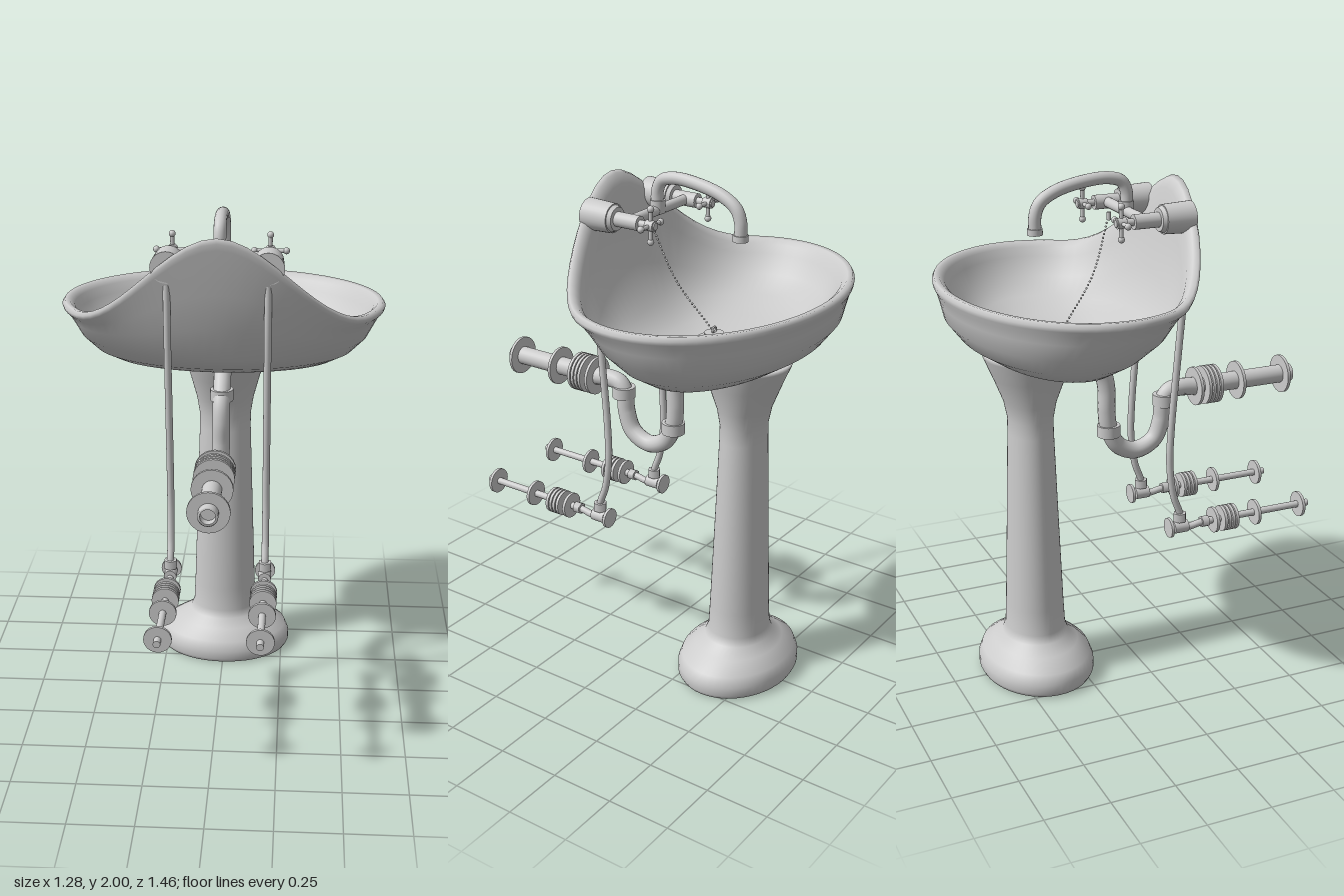
import * as THREE from 'three';

const grey = new THREE.MeshStandardMaterial({ color: 0xcccccc });
grey.name = 'grey';

function add(parent, name, geo, x = 0, y = 0, z = 0) {
  const m = new THREE.Mesh(geo, grey);
  m.name = name;
  m.position.set(x, y, z);
  parent.add(m);
  return m;
}

// cylinder along z: radius rA at zA, rB at zB (zA > zB)
function rodZ(parent, name, x, y, zA, zB, rA, rB = rA, seg = 24) {
  const g = new THREE.CylinderGeometry(rA, rB, zA - zB, seg).rotateX(Math.PI / 2);
  return add(parent, name, g, x, y, (zA + zB) / 2);
}

// upright cylinder
function rodY(parent, name, x, y, z, r, h, seg = 24) {
  return add(parent, name, new THREE.CylinderGeometry(r, r, h, seg), x, y, z);
}

// tube in the plane at x through [z, y] points
function pipe(parent, name, x, pts, r, n = 60) {
  const curve = new THREE.CatmullRomCurve3(pts.map(([z, y]) => new THREE.Vector3(x, y, z)));
  return add(parent, name, new THREE.TubeGeometry(curve, n, r, 16));
}

// closed skin over elliptical rings [halfWidth, zBack, zFront, y, lift]
function loft(rings, rise, seg = 72) {
  const pos = [], idx = [];
  rings.forEach(([ax, z0, z1, y, lift = 0], k) => {
    for (let j = 0; j < seg; j++) {
      const a = (j / seg) * Math.PI * 2, c = Math.cos(a), s = Math.sin(a);
      pos.push(ax * c, y + lift * rise(c, s), (z0 + z1) / 2 + ((z1 - z0) / 2) * s);
      if (k === rings.length - 1) continue;
      const p = k * seg + j, q = k * seg + ((j + 1) % seg);
      idx.push(p, p + seg, q, q, p + seg, q + seg);
    }
  });
  const g = new THREE.BufferGeometry();
  g.setAttribute('position', new THREE.Float32BufferAttribute(pos, 3));
  g.setIndex(idx);
  g.computeVertexNormals();
  return g;
}

// wall spindle with washers, shared by the drain and both supplies
function wallFixing(parent, name, x, y, discR) {
  [0.692, 0.488, 0.387, 0.37, 0.353, 0.336, 0.3].forEach((z) =>
    rodZ(parent, name + 'Washer', x, y, z + 0.006, z - 0.006, discR));
}

export function createModel() {
  const model = new THREE.Group();
  model.name = 'pedestalSink';

  // basin: outer hull, rolled rim, then inner bowl; the splashback is the lifted side
  const splash = (c, s) => (s <= 0 ? 0 : THREE.MathUtils.smoothstep(1 - Math.abs(c) / 0.91, 0, 1));
  add(model, 'basin', loft([
    [0, -0.33, -0.33, 1.335], [0.3, -0.5, -0.17, 1.338], [0.45, -0.575, -0.1, 1.355],
    [0.52, -0.645, 0, 1.4], [0.575, -0.695, 0.09, 1.465], [0.605, -0.71, 0.14, 1.53, 0.07],
    [0.62, -0.72, 0.18, 1.565, 0.18], [0.636, -0.73, 0.21, 1.585, 0.335],
    [0.64, -0.732, 0.217, 1.6, 0.345], [0.63, -0.725, 0.211, 1.615, 0.35],
    [0.61, -0.705, 0.19, 1.613, 0.345], [0.592, -0.685, 0.167, 1.595, 0.325],
    [0.575, -0.665, 0.15, 1.56, 0.26], [0.53, -0.62, 0.1, 1.49, 0.12],
    [0.44, -0.55, 0.02, 1.43, 0.03], [0.28, -0.45, -0.09, 1.395],
    [0.1, -0.34, -0.18, 1.38], [0, -0.26, -0.26, 1.375],
  ], splash));

  // pedestal: [half width, half depth, height], hollowed underneath
  add(model, 'pedestal', loft([
    [0, 0, 0.06], [0.05, 0.04, 0.035], [0.15, 0.12, 0.012], [0.25, 0.2, 0], [0.272, 0.217, 0.004],
    [0.281, 0.225, 0.02], [0.281, 0.225, 0.055], [0.265, 0.21, 0.095], [0.2, 0.165, 0.135],
    [0.15, 0.13, 0.168], [0.135, 0.118, 0.2], [0.13, 0.113, 0.3], [0.117, 0.098, 0.7],
    [0.107, 0.087, 1.02], [0.107, 0.086, 1.08], [0.118, 0.1, 1.15], [0.145, 0.14, 1.25],
    [0.172, 0.174, 1.33], [0.172, 0.174, 1.345], [0, 0, 1.345],
  ].map(([w, d, y]) => [w, -0.403 - d, -0.403 + d, y]), () => 0, 48));

  // plug hole and plug
  const plug = new THREE.Group();
  plug.name = 'plug';
  model.add(plug);
  const flange = [[0.03, 0], [0.07, 0], [0.07, 0.012], [0.06, 0.018], [0.045, 0.012], [0.0, 0.01]];
  add(plug, 'drainFlange', new THREE.LatheGeometry(flange.map(([a, b]) => new THREE.Vector2(a, b)), 32), 0, 1.378, -0.26);
  rodY(plug, 'stopper', 0, 1.4, -0.26, 0.038, 0.03);
  add(plug, 'stopperRing', new THREE.TorusGeometry(0.012, 0.004, 8, 16), 0, 1.425, -0.26);

  // beaded chain
  const chain = new THREE.CatmullRomCurve3([
    new THREE.Vector3(0.005, 1.43, -0.25), new THREE.Vector3(0.045, 1.6, -0.12), new THREE.Vector3(0.085, 1.8, -0.04),
  ]);
  const bead = new THREE.SphereGeometry(0.0045, 8, 6);
  for (const p of chain.getSpacedPoints(30)) add(plug, 'chainBead', bead, p.x, p.y, p.z);
  rodY(plug, 'chainHook', 0.085, 1.812, -0.035, 0.009, 0.03, 12);

  // tap: spout and bridge
  const tap = new THREE.Group();
  tap.name = 'tap';
  model.add(tap);
  const tapY = 1.846;
  pipe(tap, 'spout', 0, [[0, 1.84], [0, 1.92], [-0.02, 1.96], [-0.07, 1.976], [-0.15, 1.974], [-0.28, 1.945],
    [-0.345, 1.905], [-0.365, 1.86], [-0.367, 1.8]], 0.024);
  rodY(tap, 'spoutNozzle', 0, 1.8, -0.367, 0.029, 0.024);
  rodY(tap, 'spoutCollar', 0, 1.86, 0, 0.029, 0.05);
  add(tap, 'bridge', new THREE.CylinderGeometry(0.02, 0.02, 0.36, 20).rotateZ(Math.PI / 2), 0, tapY, -0.003);

  for (const side of [-1, 1]) {
    const x = side * 0.187;
    // valve body through the splashback, with cross handle
    const valve = new THREE.Group();
    valve.name = side > 0 ? 'leftValve' : 'rightValve';
    model.add(valve);
    rodZ(valve, 'valveBody', x, tapY, 0.178, 0.062, 0.06, 0.055, 32);
    rodZ(valve, 'valveCap', x, tapY, 0.062, 0.046, 0.05, 0.044, 32);
    rodZ(valve, 'valveNeck', x, tapY, 0.05, -0.055, 0.028);
    rodZ(valve, 'handleStem', x, tapY, -0.05, -0.125, 0.014);
    rodZ(valve, 'handleHub', x, tapY, -0.085, -0.12, 0.02);
    for (let i = 0; i < 4; i++) {
      const a = (i * Math.PI) / 2, dx = Math.cos(a), dy = Math.sin(a);
      const arm = new THREE.CylinderGeometry(0.009, 0.007, 0.06, 12).rotateZ(a - Math.PI / 2);
      add(valve, 'handleArm', arm, x + dx * 0.03, tapY + dy * 0.03, -0.102);
      add(valve, 'handleKnob', new THREE.SphereGeometry(0.013, 14, 10), x + dx * 0.061, tapY + dy * 0.061, -0.102);
    }

    // water supply
    const supply = new THREE.Group();
    supply.name = side > 0 ? 'leftSupply' : 'rightSupply';
    model.add(supply);
    const y = 0.597;
    pipe(supply, 'supplyTube', x, [[0.165, 1.78], [0.158, 1.6], [0.132, 1.3], [0.107, 1.0], [0.104, 0.86],
      [0.122, 0.73], [0.15, 0.65], [0.15, 0.62]], 0.014);
    rodZ(supply, 'wallPipe', x, y, 0.733, 0.27, 0.014);
    wallFixing(supply, 'supply', x, y, 0.052);
    rodZ(supply, 'supplyNut', x, y, 0.275, 0.245, 0.024, 0.024, 6);
    pipe(supply, 'supplyElbow', x, [[0.26, y], [0.23, y - 0.003], [0.2, y - 0.009], [0.16, y - 0.01]], 0.014, 12);
    rodZ(supply, 'stopValve', x, y - 0.003, 0.182, 0.122, 0.025);
    rodY(supply, 'tubeNut', x, 0.637, 0.15, 0.027, 0.035, 6);
    rodZ(supply, 'stopStem', x, y, 0.125, 0.1, 0.01);
    rodZ(supply, 'stopKnob', x, y, 0.11, 0.099, 0.04);
  }

  // waste pipe with trap
  const waste = new THREE.Group();
  waste.name = 'waste';
  model.add(waste);
  const wy = 1.107;
  const sleeve = [[0.028, 0.44], [0.028, 0], [0.037, 0], [0.037, 0.44], [0.028, 0.44]];
  add(waste, 'wastePipe', new THREE.LatheGeometry(sleeve.map(([a, b]) => new THREE.Vector2(a, b)), 28)
    .rotateX(Math.PI / 2), 0, wy, 0.293);
  rodZ(waste, 'wastePipeEnd', 0, wy, 0.6, 0.59, 0.03);
  wallFixing(waste, 'waste', 0, wy, 0.078);
  rodZ(waste, 'wasteNut', 0, wy, 0.285, 0.242, 0.034, 0.034, 6);
  pipe(waste, 'trap', 0, [[0.3, wy], [0.23, 1.112], [0.185, 1.103], [0.16, 1.065], [0.152, 0.99], [0.12, 0.91],
    [0.04, 0.874], [-0.035, 0.905], [-0.075, 0.98], [-0.085, 1.06], [-0.085, 1.15], [-0.1, 1.215], [-0.14, 1.27],
    [-0.2, 1.325], [-0.25, 1.375]], 0.035, 100);
  [[0.165, 1.07], [-0.076, 0.975], [-0.135, 1.252]].forEach(([z, y]) =>
    rodY(waste, 'trapCollar', 0, y, z, 0.046, 0.046, 28));

  return model;
}
